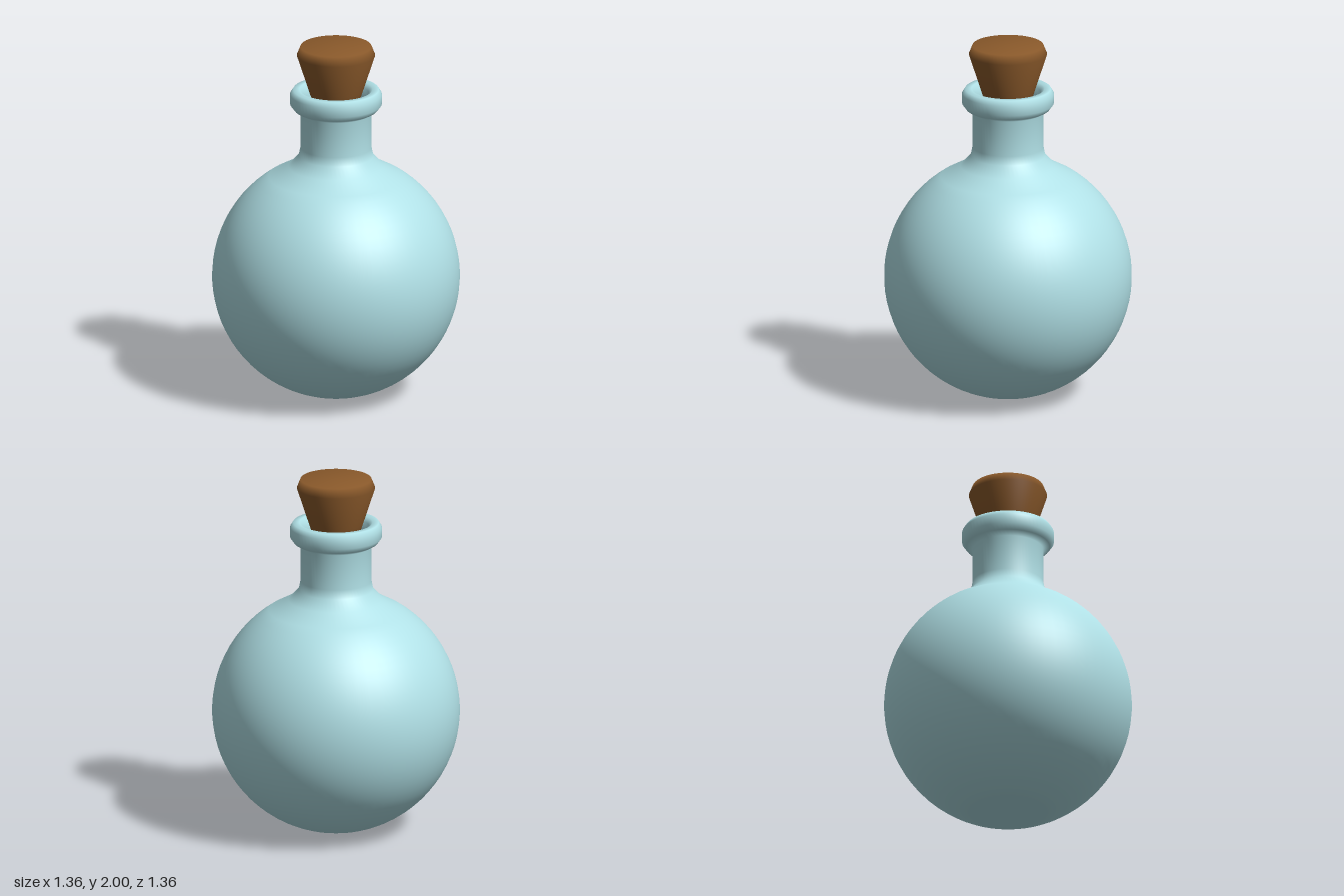
import * as THREE from 'three';

const SEGMENTS = 64;

// Smooth surface of revolution from [radius, height] pairs, bottom to top
function turned(name, profile, color) {
  const points = profile.map(([r, y]) => new THREE.Vector2(r, y));
  const mesh = new THREE.Mesh(
    new THREE.LatheGeometry(points, SEGMENTS),
    new THREE.MeshStandardMaterial({ color, side: THREE.DoubleSide })
  );
  mesh.name = name;
  return mesh;
}

export function createModel() {
  const group = new THREE.Group();
  group.name = 'corkedFlask';

  // Round body: shallow pointed base, then a spherical belly
  const R = 0.68;
  const profile = [[0, 0.005]];
  const start = -Math.acos(0.215 / R), end = Math.acos(0.37 / R);
  for (let i = 0; i <= 28; i++) {
    const a = start + (end - start) * i / 28;
    profile.push([R * Math.cos(a), 0.68 + R * Math.sin(a)]);
  }

  // Shoulder, straight neck, rolled lip and the inside of the mouth
  profile.push(
    [0.26, 1.31], [0.205, 1.37], [0.195, 1.42], [0.195, 1.62],
    [0.23, 1.64], [0.252, 1.67], [0.252, 1.725], [0.235, 1.752],
    [0.2, 1.752], [0.18, 1.73], [0.168, 1.69], [0.165, 1.62], [0.165, 1.42]
  );
  group.add(turned('bottle', profile, 0xb0e0e6));

  // Tapered stopper with a bevelled top
  group.add(turned('cork', [
    [0, 1.56], [0.09, 1.56], [0.15, 1.75], [0.215, 1.95], [0.195, 2], [0, 2],
  ], 0x8b5a2b));

  return group;
}
